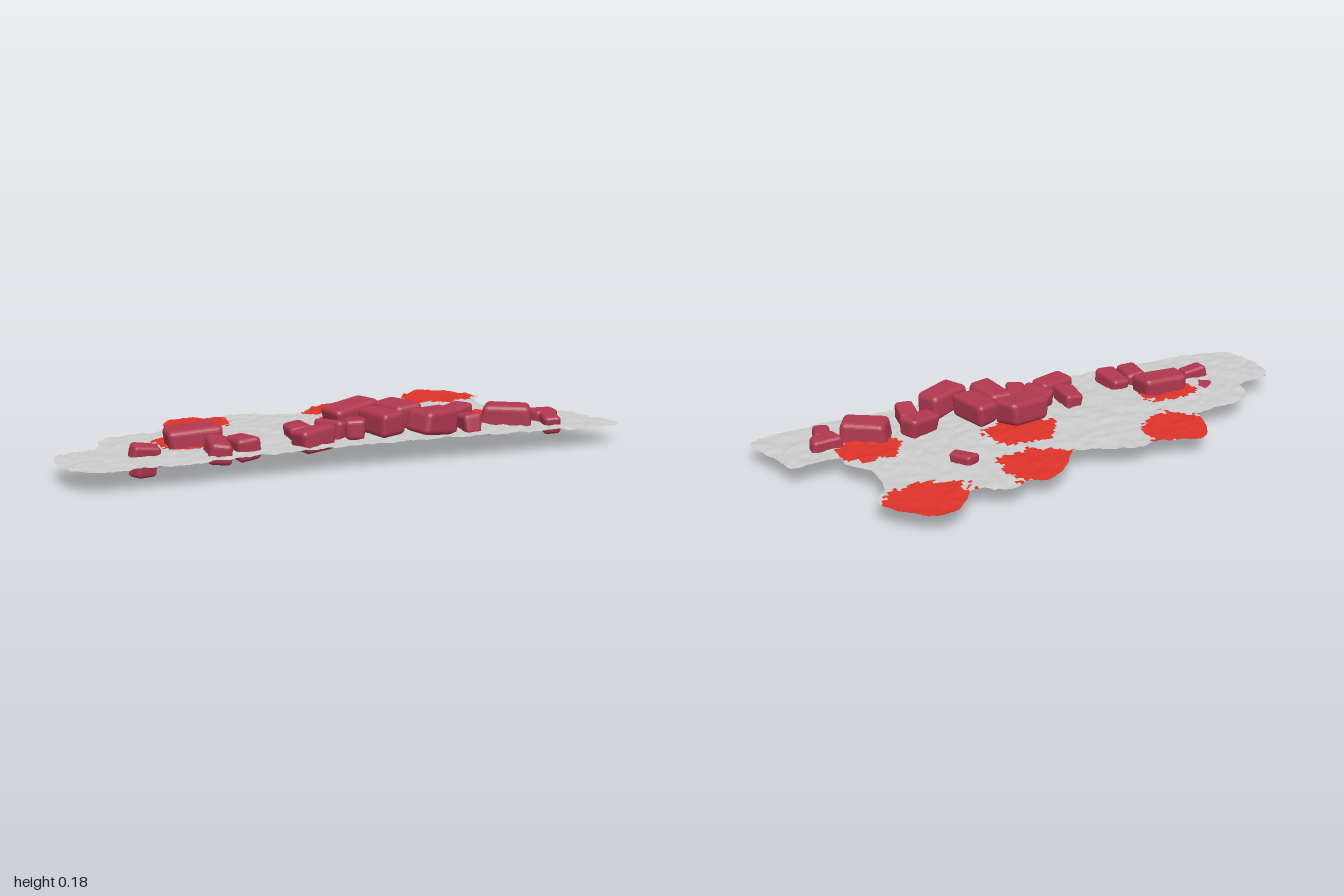
import * as THREE from 'three';
import { RoundedBoxGeometry } from 'three/addons/geometries/RoundedBoxGeometry.js';

const STEP = 0.0125;
const { lerp, smoothstep, degToRad } = THREE.MathUtils;

// Repeatable value in 0..1 for a lattice point
function hash(i, j) {
  const s = Math.sin(i * 127.1 + j * 311.7) * 43758.5453;
  return s - Math.floor(s);
}

function noise(x, z) {
  const i = Math.floor(x), j = Math.floor(z);
  const u = smoothstep(x - i, 0, 1), v = smoothstep(z - j, 0, 1);
  return lerp(lerp(hash(i, j), hash(i + 1, j), u), lerp(hash(i, j + 1), hash(i + 1, j + 1), u), v);
}

// Outline of the ground sheet: x, z
const OUTLINE = [
  [-1, 0.2], [-0.97, 0.12], [-0.83, 0.08], [-0.8, -0.01], [-0.72, -0.06], [-0.55, -0.09], [-0.52, -0.19],
  [-0.46, -0.27], [-0.3, -0.23], [-0.22, -0.25], [0, -0.18], [0.08, -0.27], [0.18, -0.33], [0.24, -0.31],
  [0.31, -0.345], [0.43, -0.29], [0.51, -0.38], [0.6, -0.42], [0.735, -0.29], [0.745, -0.22], [0.7, -0.17],
  [0.69, -0.02], [0.75, 0.07], [0.75, 0.12], [0.92, 0.125], [0.945, 0.21], [0.995, 0.37], [0.97, 0.4],
  [0, 0.405], [-0.92, 0.4], [-0.97, 0.36],
];

// Red patches: x, z, radius; those in front of z = 0 lie on top of the sheet
const PATCHES = [
  [-0.42, -0.15, 0.15], [0.15, -0.22, 0.155], [0.59, -0.3, 0.17],
  [0.1, 0.04, 0.14], [-0.53, 0.13, 0.12], [0.64, 0.14, 0.12],
];

// Bricks: x, z, length, turn in degrees
const BRICKS = [
  [-0.71, 0.235, 0.1, 0], [-0.525, 0.16, 0.18, 2], [-0.48, 0.3, 0.13, 82], [-0.39, 0.285, 0.13, 95],
  [-0.165, 0.205, 0.12, 87], [-0.15, 0.315, 0.14, 20], [-0.05, 0.24, 0.12, 120], [0.02, 0.265, 0.12, 70],
  [0.06, 0.125, 0.18, 20], [0.12, 0.27, 0.16, 100], [0.21, 0.19, 0.16, 104], [0.285, 0.33, 0.17, 24],
  [0.425, 0.2, 0.13, 22], [0.435, 0.3, 0.11, 85], [0.38, -0.085, 0.09, 125], [0.615, 0.245, 0.17, -32],
  [0.765, 0.235, 0.11, 5], [0.755, 0.305, 0.1, 75],
];

// Bricks that hang through the sheet down to the floor
const SUNKEN_BRICKS = [[-0.69, 0.13, 0.12, 50], [-0.72, 0.25, 0.09, 30]];

function isInside(points, x, z) {
  let inside = false;
  points.forEach((a, i) => {
    const b = points[(i + 1) % points.length];
    if ((a.z > z) !== (b.z > z) && x < a.x + (b.x - a.x) * (z - a.z) / (b.z - a.z)) inside = !inside;
  });
  return inside;
}

function nearestOnOutline(points, p) {
  const best = new THREE.Vector3(), q = new THREE.Vector3(), line = new THREE.Line3();
  let bestDistance = Infinity;
  points.forEach((a, i) => {
    line.set(a, points[(i + 1) % points.length]).closestPointToPoint(p, true, q);
    const d = q.distanceToSquared(p);
    if (d < bestDistance) { bestDistance = d; best.copy(q); }
  });
  return best;
}

// Bumpy sheet: grid cells inside the outline, with border corners pulled onto it
function addGround(group) {
  const curve = new THREE.CatmullRomCurve3(OUTLINE.map(([x, z]) => new THREE.Vector3(x, 0, z)), true, 'centripetal');
  const outline = curve.getPoints(220).slice(0, -1);
  const columns = 162, rows = 68, x0 = -1.0125, z0 = -0.4375;
  const width = columns + 1;
  const uses = new Uint8Array(width * (rows + 1));
  const all = [], grey = [], red = [], overlay = [];

  for (let j = 0; j < rows; j++) for (let i = 0; i < columns; i++) {
    const x = x0 + (i + 0.5) * STEP, z = z0 + (j + 0.5) * STEP;
    if (!isInside(outline, x, z)) continue;
    const a = j * width + i, b = a + width, c = a + 1, d = b + 1;
    [a, b, c, d].forEach((k) => uses[k]++);
    const cell = [a, b, c, c, b, d];
    all.push(...cell);
    const ragged = 0.82 + 0.18 * hash(i, j) + 0.35 * (noise(x * 22, z * 22) - 0.5);
    const patch = PATCHES.find(([px, pz, r]) => Math.hypot(x - px, (z - pz) * 1.12) < r * ragged);
    const raised = patch && patch[1] > 0;
    if (!patch || raised) grey.push(...cell);
    if (patch) (raised ? overlay : red).push(...cell);
  }

  const positions = [];
  for (let j = 0; j <= rows; j++) for (let i = 0; i <= columns; i++) {
    let p = new THREE.Vector3(x0 + i * STEP, 0, z0 + j * STEP);
    const count = uses[j * width + i];
    if (count > 0 && count < 4) p = nearestOnOutline(outline, p);
    const rise = 0.013 * (1 - p.x * p.x) * smoothstep(p.z, -0.4, 0.1);
    const bumps = 0.009 * (noise(p.x * 38, p.z * 38) - 0.5) + 0.003 * (hash(i, j) - 0.5);
    positions.push(p.x, 0.068 + rise + bumps, p.z);
  }

  const sheet = new THREE.BufferGeometry();
  sheet.setAttribute('position', new THREE.Float32BufferAttribute(positions, 3));
  sheet.setIndex(all);
  sheet.computeVertexNormals();

  // Each part keeps its own corners only, with the normals of the whole sheet
  const addPart = (name, index, color, lift) => {
    const geometry = sheet.clone().setIndex(index).toNonIndexed().translate(0, lift, 0);
    const mesh = new THREE.Mesh(geometry, new THREE.MeshStandardMaterial({ color, side: THREE.DoubleSide }));
    mesh.name = name;
    group.add(mesh);
  };
  addPart('groundSheet', grey, 0xcccccc, 0);
  addPart('redEdgePatches', red, 0xdd3329, 0);
  addPart('redRaisedPatches', overlay, 0xdd3329, 0.004);
}

// Worn brick: rounded box skewed a little along each axis
function brickGeometry(length, seed) {
  const h = 0.035 + 0.3 * length, d = 0.6 * length;
  const geometry = new RoundedBoxGeometry(length, h, d, 3, Math.min(h, d) * 0.22);
  const position = geometry.attributes.position;
  const skew = (k) => 0.4 * (hash(seed, k) - 0.5);
  const p = new THREE.Vector3();
  for (let i = 0; i < position.count; i++) {
    p.fromBufferAttribute(position, i);
    const u = p.x / length, v = p.y / h, t = p.z / d;
    position.setXYZ(i,
      p.x * (1 + skew(1) * v + skew(2) * t),
      p.y * (1 + skew(3) * u + skew(4) * t),
      p.z * (1 + skew(5) * u + skew(6) * v));
  }
  geometry.computeVertexNormals();
  return geometry;
}

function addBricks(group) {
  const bricks = new THREE.Group();
  bricks.name = 'bricks';
  const material = new THREE.MeshStandardMaterial({ color: 0xb03850 });
  [...BRICKS, ...SUNKEN_BRICKS].forEach(([x, z, length, turn], i) => {
    const brick = new THREE.Mesh(brickGeometry(length, i + 1), material);
    brick.name = 'brick';
    // The heap is highest near x = 0.2
    const heap = z > 0 ? 0.04 * Math.max(0, 1 - 2 * Math.abs(x - 0.2)) : 0;
    brick.position.set(x, 0.05 + 0.25 * length + heap, z);
    const tilt = (k) => degToRad(14 * (hash(i, k) - 0.5));
    brick.rotation.set(tilt(20), degToRad(turn), tilt(30), 'YXZ');
    if (i >= BRICKS.length) {
      brick.position.y -= new THREE.Box3().setFromObject(brick, true).min.y;
    }
    bricks.add(brick);
  });
  group.add(bricks);
}

export function createModel() {
  const group = new THREE.Group();
  group.name = 'brickRubble';
  addGround(group);
  addBricks(group);
  return group;
}
